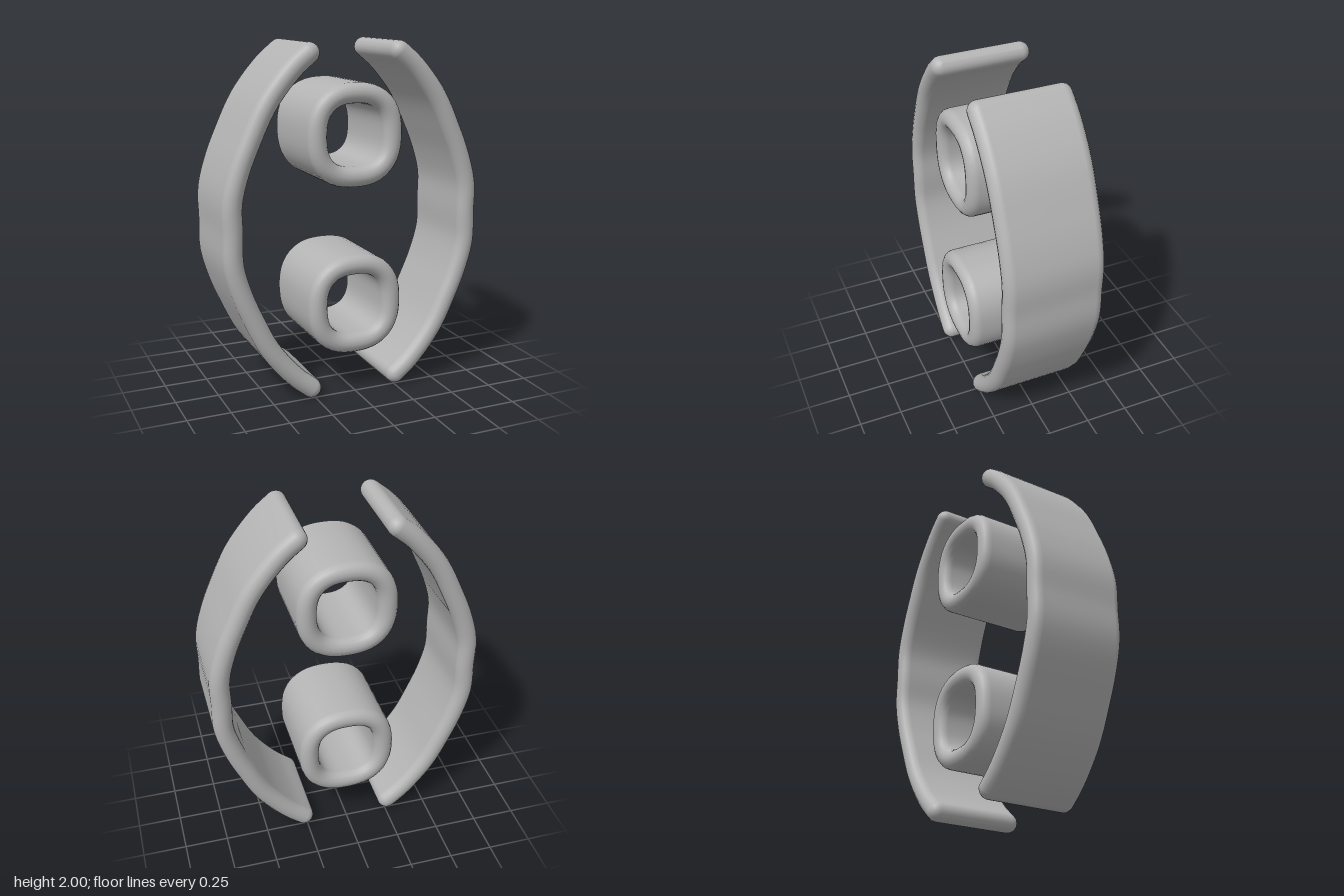
import * as THREE from 'three';

const R = 0.057;   // half the wall thickness, also the edge rounding
const D = 0.23;    // half the depth before the rounded edges
const ARC = 8;     // segments per rounded edge

// Sweeps a round-edged slab section along a list of { p, t, s } stations
// (centre, tangent, section scale) lying in the xy plane.
function sweep(stations, closed) {
  const pos = [], index = [];
  const m = 2 * (ARC + 1), n = stations.length;
  for (const { p, t, s } of stations) {
    for (let j = 0; j < m; j++) {
      const back = j > ARC;
      const a = (Math.PI * (back ? j - 1 : j)) / ARC;
      const w = R * s * Math.cos(a);
      pos.push(p.x + t.y * w, p.y - t.x * w, (back ? -D : D) + R * s * Math.sin(a));
    }
  }
  for (let i = 0; i < (closed ? n : n - 1); i++) {
    for (let j = 0; j < m; j++) {
      const k = (i + 1) % n, l = (j + 1) % m;
      const a = i * m + j, b = k * m + j, c = k * m + l, d = i * m + l;
      index.push(a, b, d, b, c, d);
    }
  }
  const g = new THREE.BufferGeometry();
  g.setAttribute('position', new THREE.Float32BufferAttribute(pos, 3));
  g.setIndex(index);
  g.computeVertexNormals();
  return g;
}

// Bowed wall with rounded ends, running from bottom to top
function wallGeometry() {
  const upper = [[0.71, 1.17], [0.665, 1.34], [0.605, 1.485], [0.505, 1.685], [0.36, 1.865], [0.267, 1.944]];
  const pts = [
    ...upper.map(([x, y]) => [x, 2 - y]).reverse(), [0.71, 1], ...upper,
  ].map(([x, y]) => new THREE.Vector3(x, y, 0));
  const curve = new THREE.CatmullRomCurve3(pts);
  const stations = [], N = 48, CAP = 6;
  const add = (u, reach, s) => {
    const t = curve.getTangentAt(u);
    stations.push({ p: curve.getPointAt(u).addScaledVector(t, reach), t, s });
  };
  for (let i = 0; i < CAP; i++) {
    const a = (i / CAP) * Math.PI / 2;
    add(0, -R * Math.cos(a), Math.sin(a));
  }
  for (let i = 0; i <= N; i++) add(i / N, 0, 1);
  for (let i = CAP - 1; i >= 0; i--) {
    const a = (i / CAP) * Math.PI / 2;
    add(1, R * Math.cos(a), Math.sin(a));
  }
  return sweep(stations, false);
}

// Squarish round tube with rounded rims
function tubeGeometry() {
  const pts = [];
  for (let i = 0; i < 32; i++) {
    const a = (i / 32) * Math.PI * 2, c = Math.cos(a), s = Math.sin(a);
    const q = (v) => Math.sign(v) * Math.pow(Math.abs(v), 2 / 2.5);
    pts.push(new THREE.Vector3(0.226 * q(c), 0.232 * q(s), 0));
  }
  const curve = new THREE.CatmullRomCurve3(pts, true);
  const stations = [];
  for (let i = 0; i < 48; i++) {
    stations.push({ p: curve.getPointAt(i / 48), t: curve.getTangentAt(i / 48), s: 1 });
  }
  return sweep(stations, true);
}

export function createModel() {
  const model = new THREE.Group();
  const grey = new THREE.MeshStandardMaterial({ color: 0xb4b4b4 });
  grey.name = 'grey';

  // Two facing walls
  const wall = wallGeometry();
  for (const side of ['left', 'right']) {
    const mesh = new THREE.Mesh(wall, grey);
    mesh.name = side + 'Wall';
    if (side === 'right') mesh.rotation.y = Math.PI;
    model.add(mesh);
  }

  // Two tubes, one above the other
  const tube = tubeGeometry();
  for (const [name, y] of [['upperTube', 1.492], ['lowerTube', 0.525]]) {
    const mesh = new THREE.Mesh(tube, grey);
    mesh.name = name;
    mesh.position.y = y;
    model.add(mesh);
  }
  return model;
}
